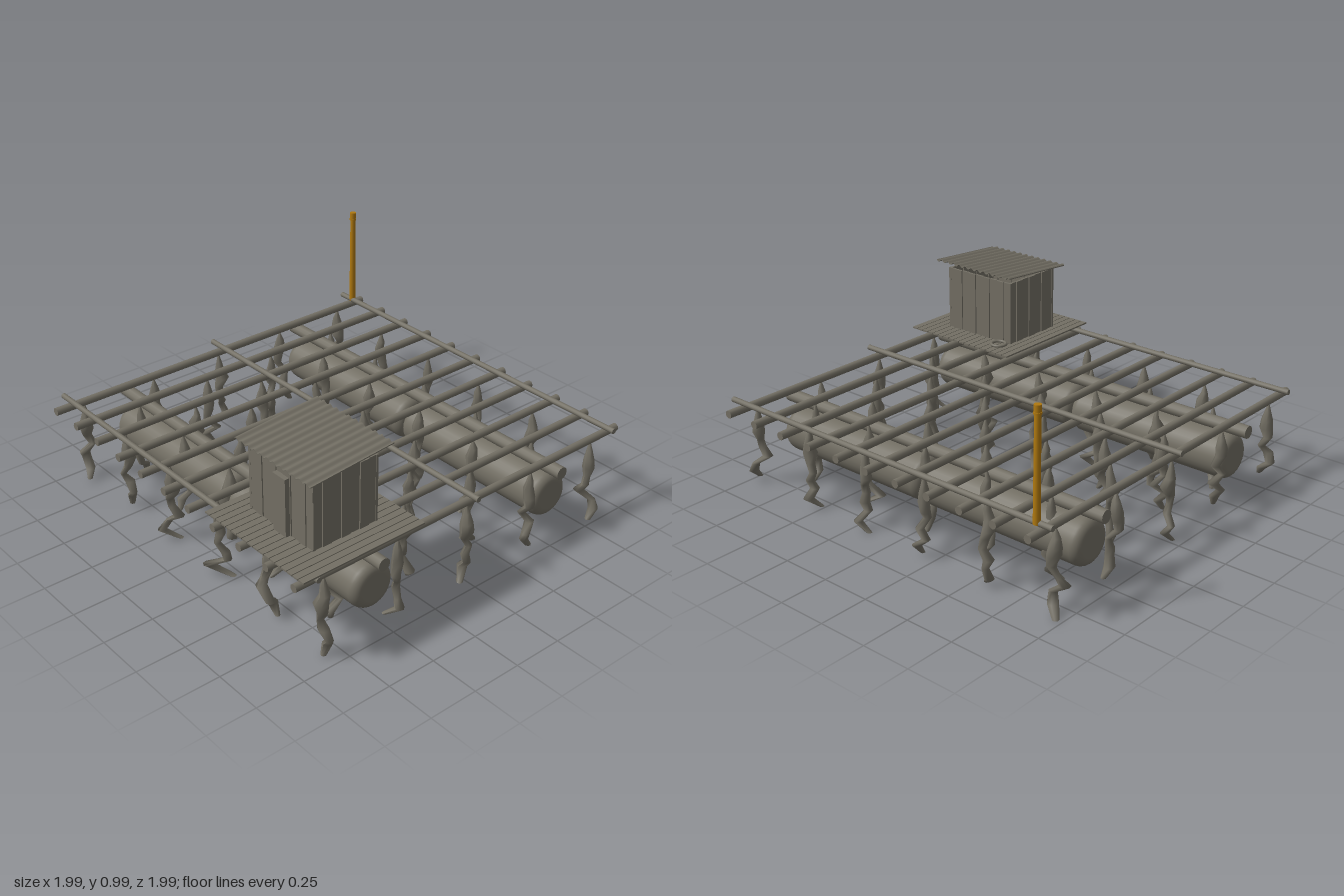
import * as THREE from 'three';

export function createModel() {
  const model = new THREE.Group();
  const wood = new THREE.MeshStandardMaterial({ color: 0x736f64 });
  wood.name = 'weathered grey';
  const gold = new THREE.MeshStandardMaterial({ color: 0xb0790f });
  gold.name = 'marker amber';

  let seed = 7;
  const rand = () => (seed = (seed * 16807) % 2147483647) / 2147483647;
  const jitter = (a) => (rand() * 2 - 1) * a;

  const group = (name) => {
    const g = new THREE.Group();
    g.name = name;
    model.add(g);
    return g;
  };
  const add = (parent, name, geo, x, y, z, mat = wood) => {
    const m = new THREE.Mesh(geo, mat);
    m.name = name;
    m.position.set(x, y, z);
    parent.add(m);
    return m;
  };
  const box = (parent, name, w, h, d, x, y, z) =>
    add(parent, name, new THREE.BoxGeometry(w, h, d), x, y, z);
  const poleX = (r) => new THREE.CylinderGeometry(r, r, 1.985, 12).rotateZ(Math.PI / 2);
  const poleZ = (r) => new THREE.CylinderGeometry(r, r, 1.985, 12).rotateX(Math.PI / 2);

  // Pole lattice
  const frame = group('poleFrame');
  const poleAt = (i) => -0.935 + i * 0.186;
  for (let i = 0; i < 11; i++) add(frame, 'crossPole', poleZ(0.02), poleAt(i), 0.45, -0.003);
  for (const z of [-0.91, -0.005, 0.905]) add(frame, 'topPole', poleX(0.014), -0.005, 0.485, z);
  for (const z of [-0.555, 0.55]) add(frame, 'mainBeam', poleX(0.032), -0.005, 0.395, z);

  // Float drums with rounded rims
  const floats = group('floats');
  const half = 0.463, R = 0.115, rim = 0.045;
  const profile = [new THREE.Vector2(0, -half)];
  for (let k = 0; k <= 6; k++) {
    const a = (k / 6) * Math.PI / 2;
    profile.push(new THREE.Vector2(R - rim + rim * Math.sin(a), -half + rim - rim * Math.cos(a)));
  }
  for (let k = 6; k >= 0; k--) profile.push(new THREE.Vector2(profile[k + 1].x, -profile[k + 1].y));
  profile.push(new THREE.Vector2(0, half));
  for (const z of [-0.555, 0.55])
    for (const x of [-0.468, 0.467])
      add(floats, 'floatDrum', new THREE.LatheGeometry(profile, 28).rotateZ(-Math.PI / 2), x, 0.243, z);

  // Hanging shellfish ropes: spindle on top, kinked tail below
  const radii = [0.004, 0.018, 0.029, 0.031, 0.022, 0.018, 0.024, 0.021, 0.024, 0.014];
  const sway = [0, 0.004, 0.01, 0.015, 0.022, 0.03, 0.035, 0.04, 0.05, 0.055];
  const ropeGeometry = () => {
    const n = radii.length - 1;
    const length = 0.405 + jitter(0.008);
    const rows = radii.map((r, k) => ({
      x: jitter(sway[k]), z: jitter(sway[k] * 0.75), r: r * (1 + jitter(0.18)),
    }));
    const geo = new THREE.CylinderGeometry(1, 1, 1, 7, n);
    const p = geo.attributes.position;
    for (let v = 0; v < p.count; v++) {
      const t = 0.5 - p.getY(v);
      const row = rows[Math.round(t * n)];
      p.setXYZ(v, row.x + p.getX(v) * row.r, -t * length, row.z + p.getZ(v) * row.r);
    }
    geo.computeVertexNormals();
    return geo;
  };
  const ropes = group('shellfishRopes');
  for (let j = 0; j < 9; j++)
    for (let i = j % 2; i < 11; i += 2)
      add(ropes, 'shellfishRope', ropeGeometry(), poleAt(i), 0.432, 0.83 - j * 0.206);

  // Plank deck
  const deck = group('deck');
  for (let i = 0; i < 18; i++)
    box(deck, 'deckPlank', 0.0335, 0.008, 0.665, 0.331 + i * 0.0375, 0.504, 0.653);
  const coil = new THREE.TorusGeometry(0.038, 0.008, 8, 24).rotateX(Math.PI / 2);
  add(deck, 'ropeCoil', coil, 0.455, 0.514, 0.42);

  // Hut of upright boards, alternating in depth
  const hut = group('hut');
  const y = 0.674, h = 0.332;
  for (let i = 0; i < 9; i++) {
    const x = 0.435 + i * 0.0482, step = (i % 2) * 0.004;
    for (const s of [-1, 1])
      box(hut, 'wallBoard', 0.046, h, 0.012, x, y, 0.64 + s * (0.17 + step));
  }
  for (let i = 0; i < 7; i++) {
    const z = 0.488 + i * 0.0507, step = (i % 2) * 0.004;
    for (const s of [-1, 1])
      box(hut, 'wallBoard', 0.012, h, 0.0485, 0.628 + s * (0.207 + step), y, z);
  }
  box(hut, 'door', 0.083, 0.285, 0.024, 0.652, 0.652, 0.831);

  // Corrugated sloping roof
  const sheet = new THREE.BoxGeometry(0.506, 0.005, 0.448, 96, 1, 1);
  const sp = sheet.attributes.position;
  for (let v = 0; v < sp.count; v++)
    sp.setY(v, sp.getY(v) + 0.006 * Math.sin((sp.getX(v) / 0.506) * Math.PI * 24));
  sheet.computeVertexNormals();
  add(hut, 'roofSheet', sheet, 0.625, 0.871, 0.633).rotation.x = 0.078;

  // Marker post with collar and cap
  const post = group('markerPost');
  const px = -0.915, pz = -0.913;
  add(post, 'postShaft', new THREE.CylinderGeometry(0.014, 0.017, 0.49, 14), px, 0.725, pz, gold);
  add(post, 'postCollar', new THREE.CylinderGeometry(0.018, 0.018, 0.01, 14), px, 0.968, pz, gold);
  add(post, 'postCap', new THREE.CylinderGeometry(0.016, 0.016, 0.034, 14), px, 0.988, pz, gold);

  return model;
}
